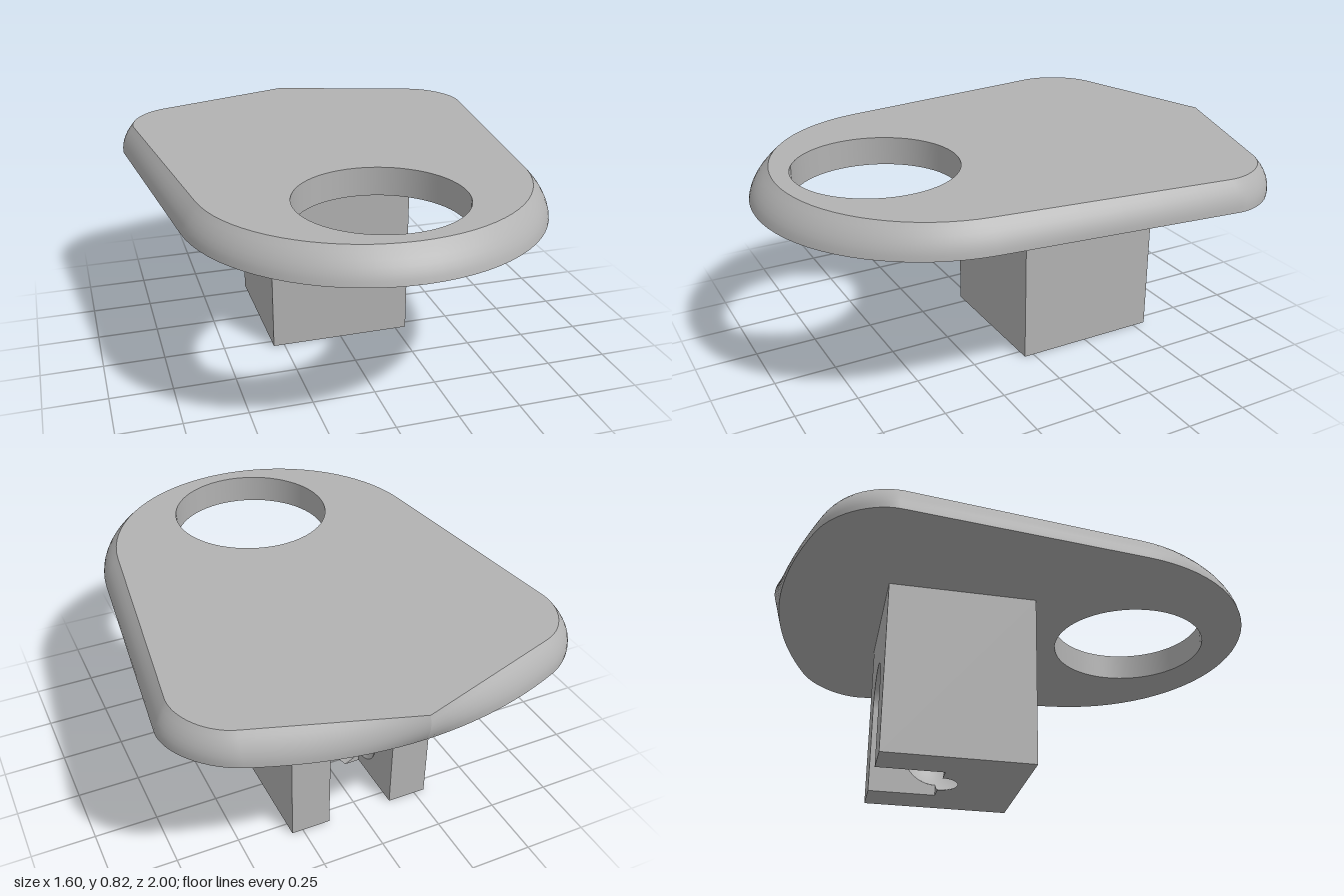
import * as THREE from 'three';

const { PI, acos, atan2, sqrt } = Math;
const V = (x, y) => new THREE.Vector2(x, y);

// Plate levels and hole
const PLATE_BOTTOM = 0.71, PLATE_TOP = 0.825, HOLE_Z = 0.53, HOLE_R = 0.322;
// Block and slot: half widths, z range, slot floor, arch centre
const BX = 0.295, BACK = -0.555, FRONT = 0.04, SX = 0.135, FLOOR = -0.285, ARCH_Y = 0.355;
// Ball socket: radius, centre height, and its cut radii on the slot walls and underside
const R = 0.19, CY = 0.177, WALL_R = sqrt(R * R - SX * SX), UNDER_R = sqrt(R * R - CY * CY);

// Closed (x, z) outline, mirrored about x = 0, from the back tip and round again
function outline({ tip, tipCtrl, corner, cornerCtrl, side, frontC, a, b, join }) {
  const k = 0.55;
  const lerp = (p) => V(...p).lerp(V(...cornerCtrl), k);
  const arcStart = V(a * Math.cos(join), frontC + b * Math.sin(join));
  const pieces = [
    [new THREE.QuadraticBezierCurve(V(0, tip), V(...tipCtrl), V(...corner)), 12],
    [new THREE.CubicBezierCurve(V(...corner), lerp(corner), lerp(side), V(...side)), 14],
    [new THREE.LineCurve(V(...side), arcStart), 6],
    [new THREE.EllipseCurve(0, frontC, a, b, join, PI / 2), 18],
  ];
  const half = [V(0, tip)];
  for (const [curve, n] of pieces) half.push(...curve.getPoints(n).slice(1));
  return [...half, ...half.slice(0, -1).reverse().map((p) => V(-p.x, p.y))];
}

// Curved rim between the lower and upper outlines
function rimGeometry(low, high) {
  const steps = 6, n = low.length, pos = [], index = [];
  for (let j = 0; j <= steps; j++) {
    const t = j / steps;
    for (let i = 0; i < n; i++) {
      const p = low[i].clone().lerp(high[i], t);
      p.addScaledVector(p.clone().normalize(), 0.06 * t * (1 - t));
      pos.push(p.x, PLATE_BOTTOM + t * (PLATE_TOP - PLATE_BOTTOM), p.y);
      if (j < steps && i < n - 1) {
        const q = j * n + i;
        index.push(q, q + n, q + 1, q + 1, q + n, q + n + 1);
      }
    }
  }
  const g = new THREE.BufferGeometry();
  g.setAttribute('position', new THREE.Float32BufferAttribute(pos, 3));
  g.setIndex(index);
  g.computeVertexNormals();
  return g;
}

const flat = (shape) => new THREE.ShapeGeometry(shape, 32);

export function createModel() {
  const model = new THREE.Group();
  const grey = new THREE.MeshStandardMaterial({ color: 0xb2b2b2, side: THREE.DoubleSide });
  grey.name = 'plain grey';
  const plate = new THREE.Group(), block = new THREE.Group();
  plate.name = 'plate';
  block.name = 'mountBlock';
  model.add(plate, block);
  const add = (group, name, geometry) => {
    const mesh = new THREE.Mesh(geometry, grey);
    mesh.name = name;
    group.add(mesh);
  };

  // Plate
  const low = outline({
    tip: -0.975, tipCtrl: [0.29, -0.975], corner: [0.59, -0.855], cornerCtrl: [0.815, -0.765],
    side: [0.8, -0.57], frontC: 0.3, a: 0.7, b: 0.7, join: 0.107,
  });
  const high = outline({
    tip: -0.99, tipCtrl: [0.295, -0.895], corner: [0.59, -0.8], cornerCtrl: [0.76, -0.745],
    side: [0.75, -0.56], frontC: 0.3, a: 0.64, b: 0.617, join: 0.12,
  });
  add(plate, 'rim', rimGeometry(low, high));
  const face = (points, y) => {
    const shape = new THREE.Shape(points.slice(0, -1));
    shape.holes.push(new THREE.Path().absarc(0, HOLE_Z, HOLE_R, 0, 2 * PI, true));
    return flat(shape).rotateX(PI / 2).translate(0, y, 0);
  };
  add(plate, 'topFace', face(high, PLATE_TOP));
  add(plate, 'underside', face(low, PLATE_BOTTOM));
  const thick = PLATE_TOP - PLATE_BOTTOM;
  add(plate, 'holeWall', new THREE.CylinderGeometry(HOLE_R, HOLE_R, thick, 64, 1, true)
    .translate(0, PLATE_BOTTOM + thick / 2, HOLE_Z));

  // Block outer faces
  const H = PLATE_BOTTOM;
  add(block, 'blockFront', new THREE.PlaneGeometry(2 * BX, H).translate(0, H / 2, FRONT));
  const backShape = new THREE.Shape();
  backShape.moveTo(-BX, 0).lineTo(-SX, 0).lineTo(-SX, ARCH_Y);
  backShape.absarc(0, ARCH_Y, SX, PI, 0, true);
  backShape.lineTo(SX, 0).lineTo(BX, 0).lineTo(BX, H).lineTo(-BX, H);
  add(block, 'blockBack', flat(backShape).translate(0, 0, BACK));
  const under = new THREE.Shape();
  under.moveTo(-BX, FRONT).lineTo(-BX, BACK).lineTo(-SX, BACK).lineTo(-SX, FLOOR).lineTo(-UNDER_R, FLOOR);
  under.absarc(0, FLOOR, UNDER_R, PI, 0, true);
  under.lineTo(SX, FLOOR).lineTo(SX, BACK).lineTo(BX, BACK).lineTo(BX, FRONT);
  add(block, 'blockUnderside', flat(under).rotateX(PI / 2));

  // Slot walls, with the socket biting into them
  const wall = new THREE.Shape();
  wall.moveTo(BACK, 0).lineTo(FLOOR, 0).lineTo(FLOOR, CY - WALL_R);
  wall.absarc(FLOOR, CY, WALL_R, -PI / 2, PI / 2, true);
  wall.lineTo(FLOOR, ARCH_Y).lineTo(BACK, ARCH_Y);
  const a = atan2(WALL_R, SX);
  const corner = new THREE.Shape();
  corner.moveTo(SX, 0).lineTo(SX, CY - WALL_R);
  corner.absarc(0, CY, R, -a, -acos(UNDER_R / R), true);
  for (const s of [-1, 1]) {
    add(block, 'blockSide', new THREE.PlaneGeometry(FRONT - BACK, H)
      .rotateY(s * PI / 2).translate(s * BX, H / 2, (FRONT + BACK) / 2));
    add(block, 'slotWall', flat(wall).rotateY(-PI / 2).translate(s * SX, 0, 0));
    const c = flat(corner);
    if (s < 0) c.rotateY(PI);
    add(block, 'slotFloorCorner', c.translate(0, 0, FLOOR));
    add(block, 'socketSide', new THREE.SphereGeometry(R, 32, 12, PI, PI, 0, acos(SX / R))
      .rotateZ(-s * PI / 2).translate(0, CY, FLOOR));
  }

  // Slot arch, floor and the deep half of the socket
  const depth = FLOOR - BACK;
  add(block, 'slotArch', new THREE.CylinderGeometry(SX, SX, depth, 32, 1, true, PI / 2, PI)
    .rotateX(PI / 2).translate(0, ARCH_Y, BACK + depth / 2));
  const floor = new THREE.Shape();
  floor.moveTo(-SX, CY + WALL_R).lineTo(-SX, ARCH_Y);
  floor.absarc(0, ARCH_Y, SX, PI, 0, true);
  floor.lineTo(SX, CY + WALL_R);
  floor.absarc(0, CY, R, a, PI - a, false);
  add(block, 'slotFloor', flat(floor).translate(0, 0, FLOOR));
  add(block, 'socket', new THREE.SphereGeometry(R, 32, 24, 0, PI, 0, acos(-CY / R))
    .translate(0, CY, FLOOR));
  return model;
}
